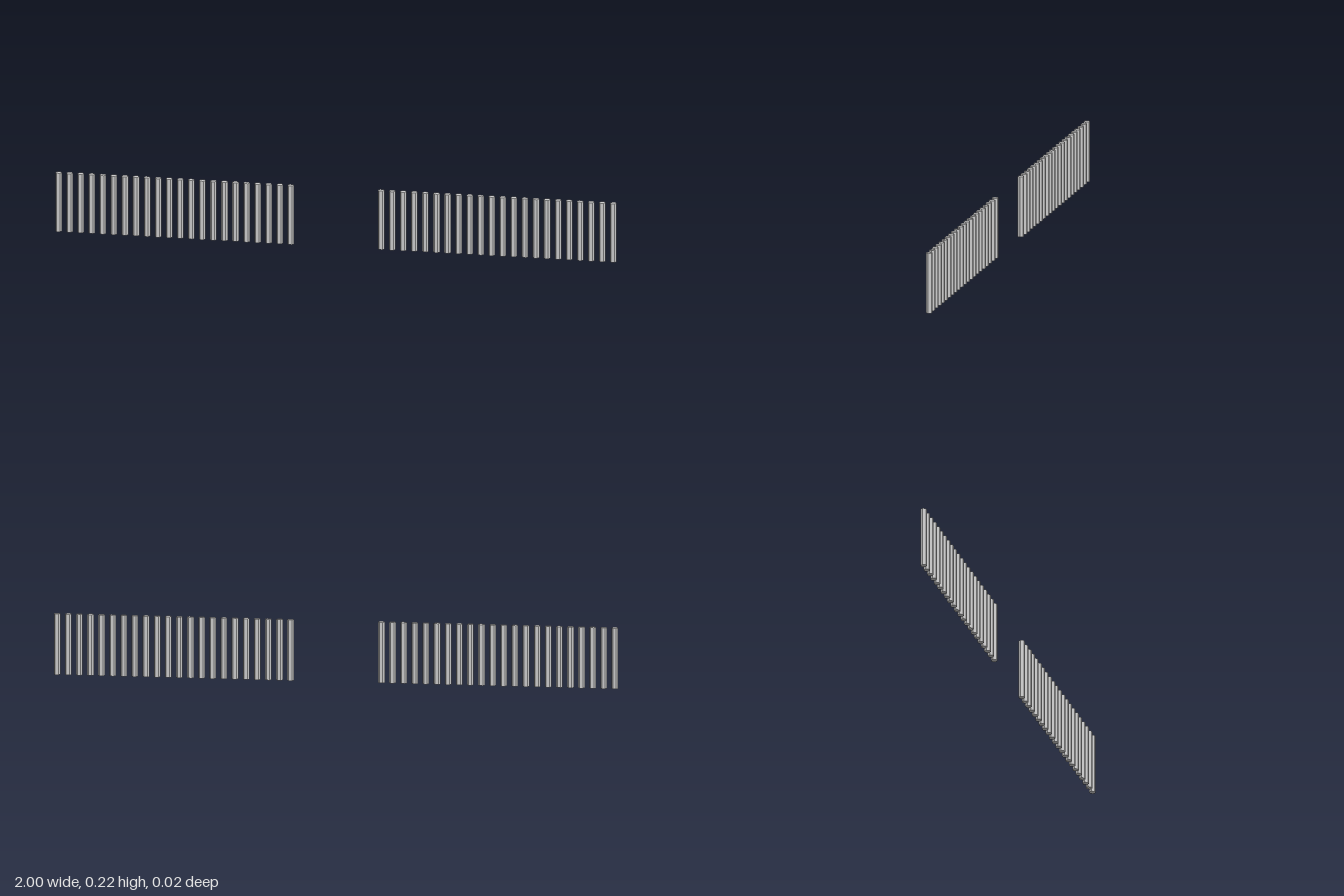
import * as THREE from 'three';

const COUNT = 22, RADIUS = 0.0118, HEIGHT = 0.218;
const INNER = 0.161, OUTER = 1 - RADIUS;

export function createModel() {
  const model = new THREE.Group();
  model.name = 'postRows';
  const material = new THREE.MeshStandardMaterial({ color: 0xcccccc, flatShading: true });

  // Hexagonal post with corners along x and flat faces front and back
  const postGeometry = new THREE.CylinderGeometry(RADIUS, RADIUS, HEIGHT, 6);
  postGeometry.rotateY(Math.PI / 6);
  postGeometry.translate(0, HEIGHT / 2, 0);

  // Two mirrored rows with an open gap between them
  for (const [name, side] of [['leftRow', 1], ['rightRow', -1]]) {
    const row = new THREE.Group();
    row.name = name;
    for (let i = 0; i < COUNT; i++) {
      const post = new THREE.Mesh(postGeometry, material);
      post.name = 'post';
      post.position.x = side * THREE.MathUtils.lerp(INNER, OUTER, i / (COUNT - 1));
      row.add(post);
    }
    model.add(row);
  }
  return model;
}
